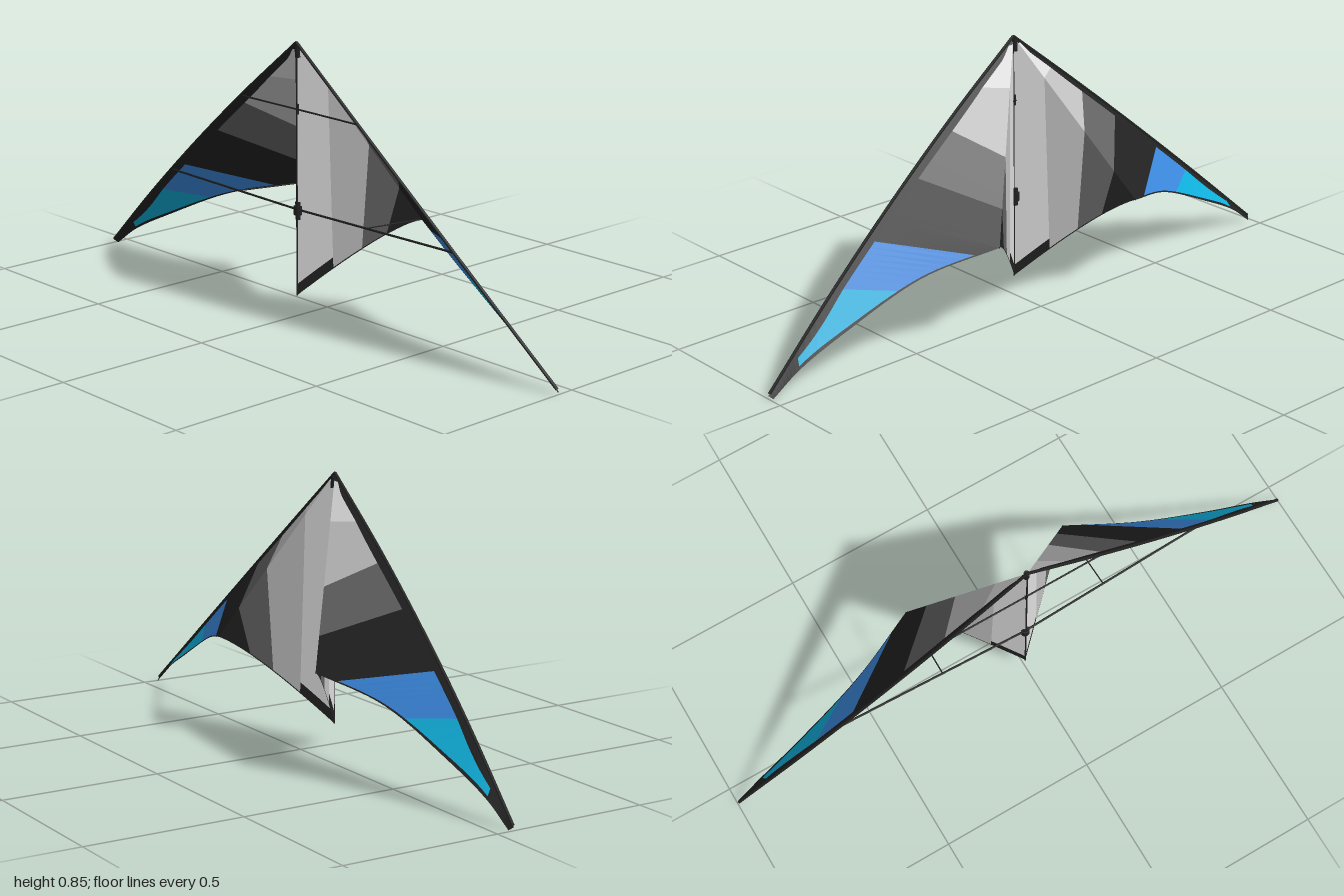
import * as THREE from 'three';

const V = (x, y, z) => new THREE.Vector3(x, y, z);

const mat = (name, color) => {
  const m = new THREE.MeshStandardMaterial({ color, side: THREE.DoubleSide });
  m.name = name;
  return m;
};

export function createModel() {
  const M = {
    black: mat('black', 0x222222),
    dark: mat('darkGrey', 0x646464),
    light: mat('lightGrey', 0xc2c2c2),
    white: mat('paleGrey', 0xe0e0e0),
    blue: mat('blue', 0x3b88dd),
    cyan: mat('cyan', 0x0fb0dc),
  };

  // Key points and edges of one half of the sail
  const nose = V(0, 0.845, 0.123), tail = V(0, 0.065, 0.123), stand = V(0.28, 0.315, -0.125);
  const lead = x => V(x, 0.845 - 0.835 * x + 0.07 * x * (1 - x), 0.123 - 0.068 * x * x);
  const crease = t => nose.clone().lerp(stand, t);
  const trailing = new THREE.CatmullRomCurve3([
    stand, V(0.5, 0.256, -0.037), V(0.74, 0.147, 0.013), V(0.9, 0.066, 0.036), V(0.99, 0, 0.045),
  ]);
  const rear = r => (r <= 1 ? crease(r) : trailing.getPoint(Math.min(r - 1, 1)));
  const keelEdge = new THREE.QuadraticBezierCurve3(tail, V(0.2, 0.285, -0.054), stand);
  const keel = u => keelEdge.getPoint(u);

  // Strip of cloth between two edges; widthA and widthB are black borders along them
  function addPanel(group, name, edgeA, edgeB, from, to, color, widthA = 0, widthB = 0) {
    const n = 8;
    const strips = { border: [], cloth: [] };
    const section = i => {
      const k = i / n;
      const a = edgeA(THREE.MathUtils.lerp(from[0], to[0], k));
      const b = edgeB(THREE.MathUtils.lerp(from[1], to[1], k));
      const d = Math.max(a.distanceTo(b), 1e-4);
      const va = Math.min(widthA / d, 0.5), vb = 1 - Math.min(widthB / d, 0.3);
      return [0, va, vb, 1].map(v => a.clone().lerp(b, v));
    };
    for (let i = 0; i < n; i++) {
      const p = section(i), q = section(i + 1);
      for (let j = 0; j < 3; j++) {
        const list = j === 1 ? strips.cloth : strips.border;
        for (const [s, t, u] of [[p[j], q[j], q[j + 1]], [p[j], q[j + 1], p[j + 1]]]) {
          const area = t.clone().sub(s).cross(u.clone().sub(s)).length();
          if (area > 1e-9) list.push(s, t, u);
        }
      }
    }
    for (const [key, pts] of Object.entries(strips)) {
      if (!pts.length) continue;
      const g = new THREE.BufferGeometry().setFromPoints(pts);
      g.computeVertexNormals();
      const mesh = new THREE.Mesh(g, key === 'cloth' ? M[color] : M.black);
      mesh.name = key === 'cloth' ? name : name + 'Border';
      group.add(mesh);
    }
  }

  // Round rod between two points
  function addRod(group, name, a, b, r) {
    const d = b.clone().sub(a);
    const rod = new THREE.Mesh(new THREE.CylinderGeometry(r, r, d.length(), 8), M.black);
    rod.position.copy(a).add(b).multiplyScalar(0.5);
    rod.quaternion.setFromUnitVectors(V(0, 1, 0), d.normalize());
    rod.name = name;
    group.add(rod);
  }

  function makeHalf() {
    const half = new THREE.Group();

    // Wing panels: [leading edge x, rear edge position, colour, hem width]
    const wing = [
      [0, 0], [0.035, 0.04, 'black', 0], [0.16, 0.25, 'white', 0], [0.28, 0.577, 'light', 0],
      [0.42, 0.82, 'dark', 0], [0.55, 1, 'black', 0], [0.6, 1.07, 'black', 0],
      [0.73, 1.32, 'blue', 0.01], [0.885, 1.75, 'cyan', 0.01], [1, 2, 'black', 0],
    ];
    for (let i = 1; i < wing.length; i++)
      addPanel(half, 'wingPanel' + i, lead, rear, wing[i - 1], wing[i], wing[i][2], 0.026, wing[i][3]);

    // Centre panels: [lower edge position, crease position, colour, border width]
    const centre = [
      [0, 0], [0.22, 0.25, 'white', 0.035], [0.42, 0.577, 'light', 0.004],
      [0.62, 0.82, 'dark', 0.004], [1, 1, 'black', 0],
    ];
    for (let i = 1; i < centre.length; i++)
      addPanel(half, 'centrePanel' + i, keel, crease, centre[i - 1], centre[i], centre[i][2], centre[i][3]);

    // Frame: leading edge, spreaders and standoff
    const path = new THREE.CatmullRomCurve3([0, 0.25, 0.5, 0.75, 0.995].map(lead));
    const spar = new THREE.Mesh(new THREE.TubeGeometry(path, 24, 0.005, 6), M.black);
    spar.name = 'leadingEdgeSpar';
    half.add(spar);
    const hub = V(0, 0.333, 0.118), end = lead(0.632);
    addRod(half, 'lowerSpreader', hub, end, 0.0035);
    addRod(half, 'upperSpreader', V(0, 0.642, 0.119), lead(0.26), 0.0028);
    addRod(half, 'standoff', hub.clone().lerp(end, 0.45), stand, 0.002);
    return half;
  }

  const kite = new THREE.Group();
  kite.name = 'kite';
  for (const side of [1, -1]) {
    const half = makeHalf();
    half.scale.x = side;
    half.name = side > 0 ? 'leftHalf' : 'rightHalf';
    kite.add(half);
  }

  // Spine and its fittings
  addRod(kite, 'spine', tail, nose, 0.0025);
  addRod(kite, 'centreFitting', V(0, 0.303, 0.118), V(0, 0.358, 0.118), 0.009);
  addRod(kite, 'centreFittingCollar', V(0, 0.318, 0.118), V(0, 0.345, 0.118), 0.014);
  addRod(kite, 'upperFitting', V(0, 0.628, 0.119), V(0, 0.66, 0.119), 0.005);
  addRod(kite, 'noseFitting', V(0, 0.8, 0.117), V(0, 0.838, 0.119), 0.009);
  return kite;
}
